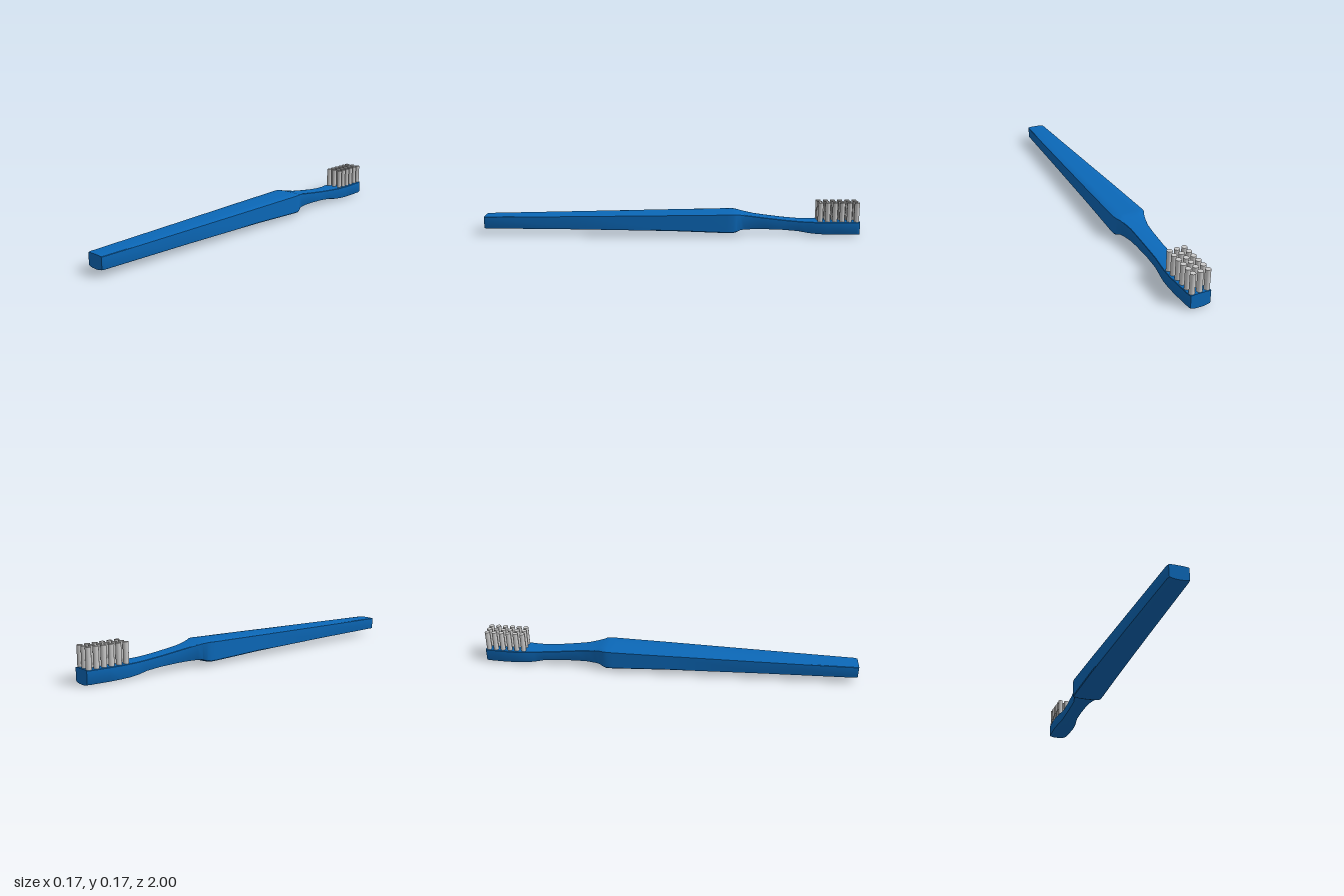
import * as THREE from 'three';
import { toCreasedNormals } from 'three/addons/utils/BufferGeometryUtils.js';

// Stations along the body: z, half width, bottom, top
const STATIONS = [
  [1, 0.047, 0.028, 0.098],
  [0.985, 0.051, 0.028, 0.099],
  [0.5, 0.064, 0.027, 0.107],
  [0, 0.077, 0.022, 0.116],
  [-0.29, 0.083, 0.013, 0.121],
  [-0.325, 0.083, 0.013, 0.122],
  [-0.345, 0.078, 0.018, 0.121],
  [-0.365, 0.067, 0.026, 0.117],
  [-0.39, 0.059, 0.027, 0.112],
  [-0.44, 0.048, 0.027, 0.103],
  [-0.5, 0.045, 0.026, 0.095],
  [-0.6, 0.043, 0.022, 0.083],
  [-0.68, 0.044, 0.015, 0.076],
  [-0.73, 0.05, 0.006, 0.074],
  [-0.78, 0.057, 0.002, 0.074],
  [-0.83, 0.06, 0.001, 0.074],
  [-0.89, 0.059, 0, 0.074],
  [-0.985, 0.054, 0, 0.074],
  [-1, 0.05, 0, 0.074],
];

// Slightly crowned section: x as a share of half width, side of the section, inset
const SECTION = [
  [0.96, 0, 0.006], [1, 0, 0.01], [1, 1, 0.004], [0.96, 1, 0.002],
  [0.5, 1, 0], [-0.5, 1, 0],
  [-0.96, 1, 0.002], [-1, 1, 0.004], [-1, 0, 0.01], [-0.96, 0, 0.006],
  [-0.5, 0, 0.001], [0, 0, 0], [0.5, 0, 0.001],
];

// Skin the sections into one closed solid
function loftBody() {
  const positions = [];
  const index = [];
  const n = SECTION.length;
  for (const [z, halfWidth, bottom, top] of STATIONS) {
    for (const [sx, isTop, inset] of SECTION) {
      positions.push(sx * halfWidth, isTop ? top - inset : bottom + inset, z);
    }
  }
  for (let i = 0; i < STATIONS.length - 1; i++) {
    for (let j = 0; j < n; j++) {
      const a = i * n + j;
      const b = i * n + ((j + 1) % n);
      index.push(a, a + n, b, b, a + n, b + n);
    }
  }
  const last = (STATIONS.length - 1) * n;
  for (let j = 1; j < n - 1; j++) {
    index.push(0, j, j + 1);
    index.push(last, last + j + 1, last + j);
  }
  const geometry = new THREE.BufferGeometry();
  geometry.setAttribute('position', new THREE.Float32BufferAttribute(positions, 3));
  geometry.setIndex(index);
  return toCreasedNormals(geometry, 0.55);
}

export function createModel() {
  const group = new THREE.Group();
  group.name = 'toothbrush';

  // Handle, neck and head in one piece
  const blue = new THREE.MeshStandardMaterial({ color: 0x0b68b8 });
  const body = new THREE.Mesh(loftBody(), blue);
  body.name = 'handleAndHead';
  group.add(body);

  // Three columns of six bristle tufts
  const grey = new THREE.MeshStandardMaterial({ color: 0xcccccc });
  const bristles = new THREE.Group();
  bristles.name = 'bristles';
  const bottom = 0.06;
  const top = 0.175;
  const tuft = new THREE.CylinderGeometry(0.0135, 0.0135, top - bottom, 16);
  for (let row = 0; row < 6; row++) {
    for (let col = -1; col <= 1; col++) {
      const mesh = new THREE.Mesh(tuft, grey);
      mesh.name = 'bristleTuft';
      mesh.position.set(col * 0.0375, (bottom + top) / 2, -0.79 - row * 0.0385);
      bristles.add(mesh);
    }
  }
  group.add(bristles);

  return group;
}
